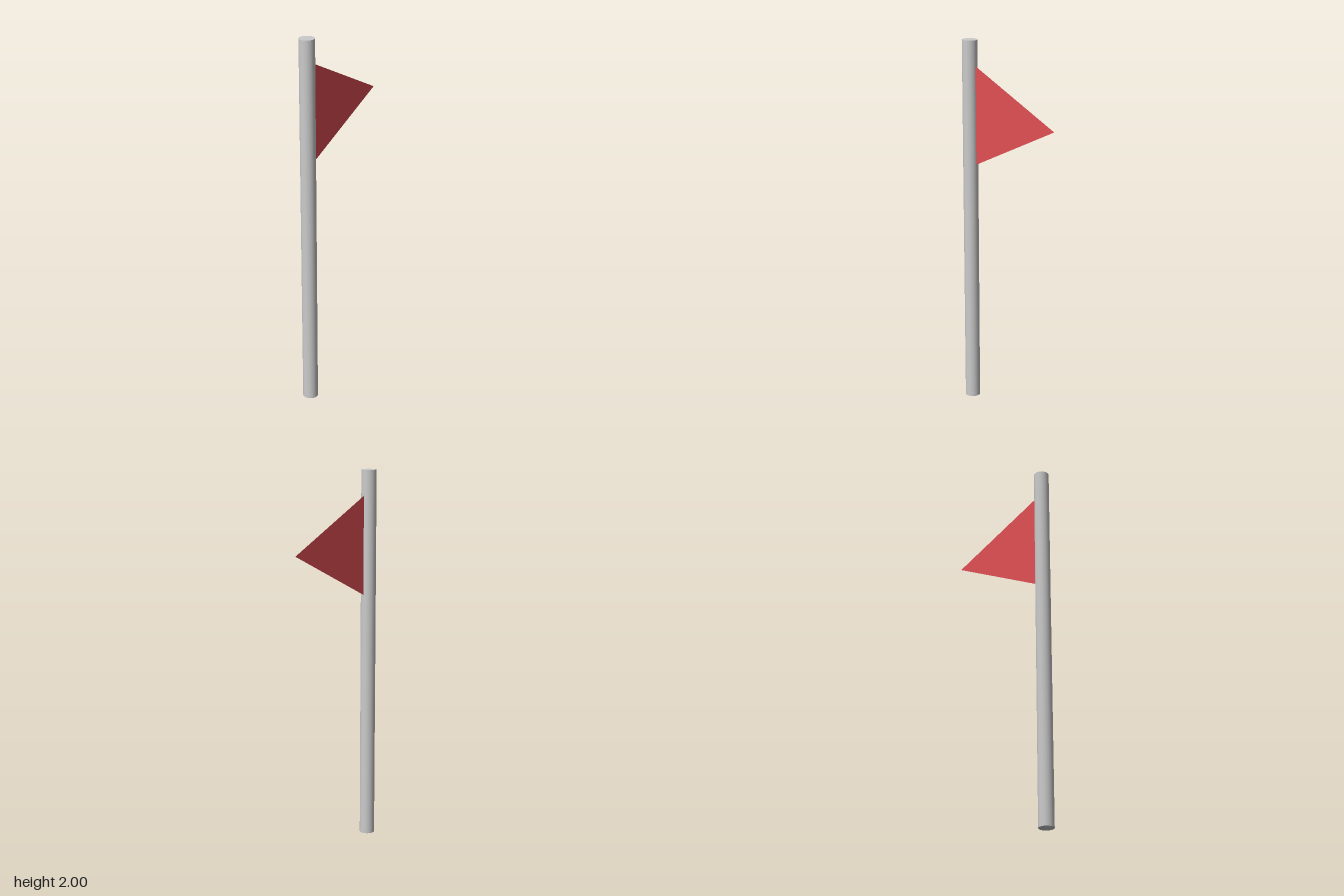
import * as THREE from 'three';

export function createModel() {
  const model = new THREE.Group();
  model.name = 'pennantOnPole';

  const poleRadius = 0.04, poleHeight = 2, poleZ = 0.262;

  // Round upright pole
  const pole = new THREE.Mesh(
    new THREE.CylinderGeometry(poleRadius, poleRadius, poleHeight, 48),
    new THREE.MeshStandardMaterial({ color: 0xcccccc })
  );
  pole.name = 'pole';
  pole.position.set(0, poleHeight / 2, poleZ);
  model.add(pole);

  // Flat triangular flag, hoisted on the back of the pole and pointing to -z
  const flagLength = 0.524, flagHalfHeight = 0.2625;
  const outline = new THREE.Shape([
    new THREE.Vector2(0, -flagHalfHeight),
    new THREE.Vector2(flagLength, 0),
    new THREE.Vector2(0, flagHalfHeight),
  ]);
  const flag = new THREE.Mesh(
    new THREE.ShapeGeometry(outline),
    new THREE.MeshStandardMaterial({ color: 0xe04f54, side: THREE.DoubleSide })
  );
  flag.name = 'flag';
  flag.rotation.y = Math.PI / 2;
  flag.position.set(0, 1.603, poleZ - poleRadius);
  model.add(flag);

  return model;
}
